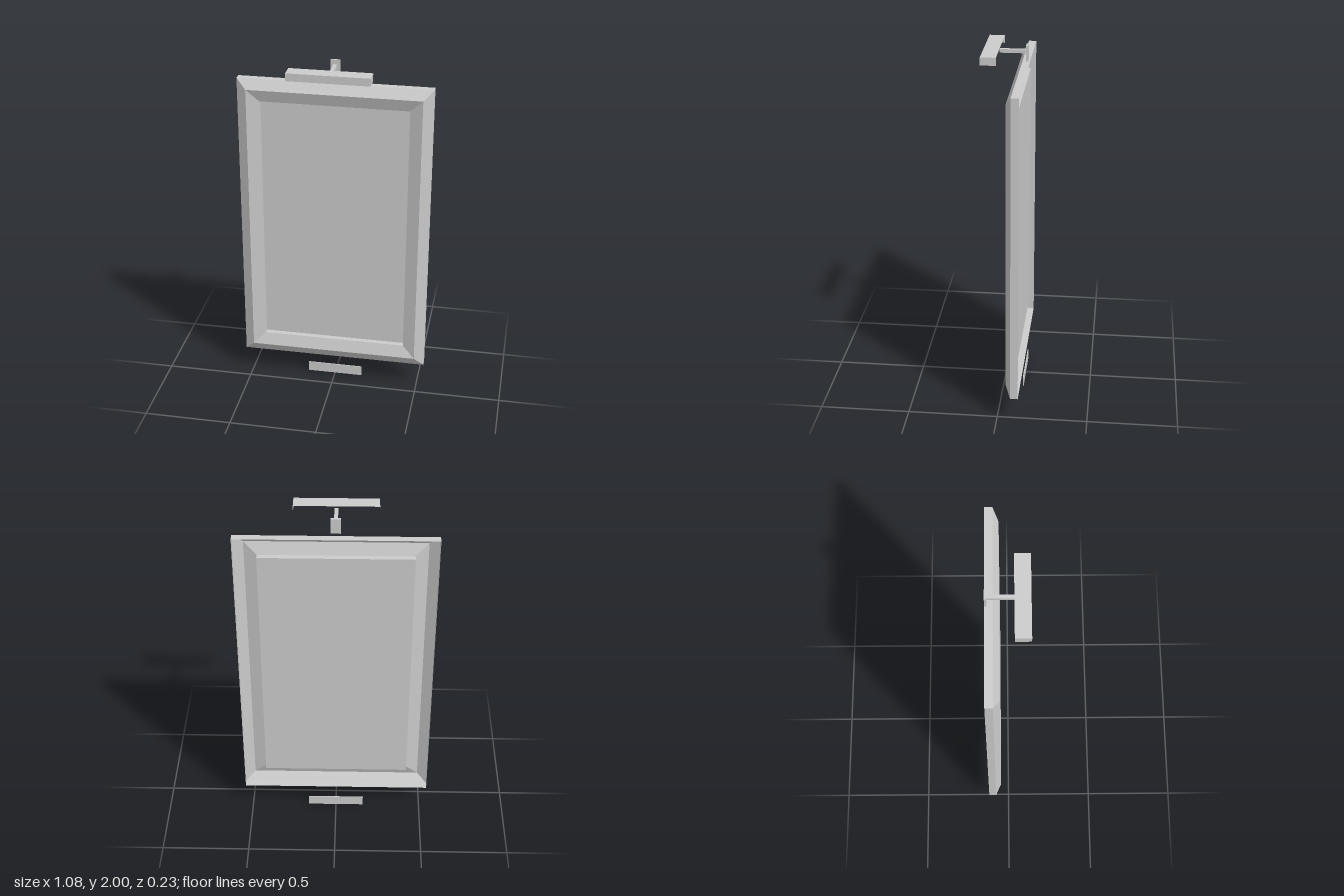
import * as THREE from 'three';

const CENTRE_Y = 1.01;

// Each ring is [half width, half height, z]; mitred strips join consecutive rings.
function mitredShell(rings) {
  const corners = ([w, h, z]) => [[-w, -h, z], [w, -h, z], [w, h, z], [-w, h, z]];
  const positions = [];
  for (let r = 0; r < rings.length - 1; r++) {
    const outer = corners(rings[r]);
    const inner = corners(rings[r + 1]);
    for (let i = 0; i < 4; i++) {
      const j = (i + 1) % 4;
      const quad = [outer[i], outer[j], inner[j], outer[i], inner[j], inner[i]];
      quad.forEach((p) => positions.push(...p));
    }
  }
  const geometry = new THREE.BufferGeometry();
  geometry.setAttribute('position', new THREE.Float32BufferAttribute(positions, 3));
  geometry.computeVertexNormals();
  return geometry;
}

export function createModel() {
  const model = new THREE.Group();
  model.name = 'framedPictureWithLamp';

  const grey = new THREE.MeshStandardMaterial({ color: 0xcccccc, side: THREE.DoubleSide });
  grey.name = 'light grey';

  const add = (name, geometry, x, y, z, parent = model) => {
    const mesh = new THREE.Mesh(geometry, grey);
    mesh.name = name;
    mesh.position.set(x, y, z);
    parent.add(mesh);
    return mesh;
  };
  const box = (w, h, d) => new THREE.BoxGeometry(w, h, d);

  // Hollow frame moulding: side wall, outer bevel, inner bevel, lip
  add('frame', mitredShell([
    [0.54, 0.865, -0.118],
    [0.54, 0.865, -0.076],
    [0.485, 0.81, -0.045],
    [0.415, 0.74, -0.068],
    [0.415, 0.74, -0.098],
  ]), 0, CENTRE_Y, 0);

  // Picture panel at the back of the lip
  add('picture', new THREE.PlaneGeometry(0.83, 1.48), 0, CENTRE_Y, -0.098);

  // Picture lamp: wall plate, arm and a shade open at the back and below
  const lamp = new THREE.Group();
  lamp.name = 'lamp';
  model.add(lamp);
  add('lampWallPlate', box(0.052, 0.085, 0.011), 0, 1.9575, -0.1125, lamp);
  add('lampArm', box(0.02, 0.02, 0.142), 0, 1.965, -0.036, lamp);

  const shade = new THREE.Group();
  shade.name = 'lampShade';
  lamp.add(shade);
  add('shadeTop', new THREE.PlaneGeometry(0.452, 0.084), 0, 1.988, 0.073, shade)
    .rotation.x = -Math.PI / 2;
  add('shadeFront', new THREE.PlaneGeometry(0.452, 0.043), 0, 1.9665, 0.115, shade);
  for (const side of [-1, 1]) {
    add('shadeEnd', new THREE.PlaneGeometry(0.084, 0.043), side * 0.226, 1.9665, 0.073, shade)
      .rotation.y = side * Math.PI / 2;
  }

  // Caption plate under the frame
  add('captionPlate', box(0.324, 0.06, 0.005), 0, 0.03, -0.1155);

  return model;
}
